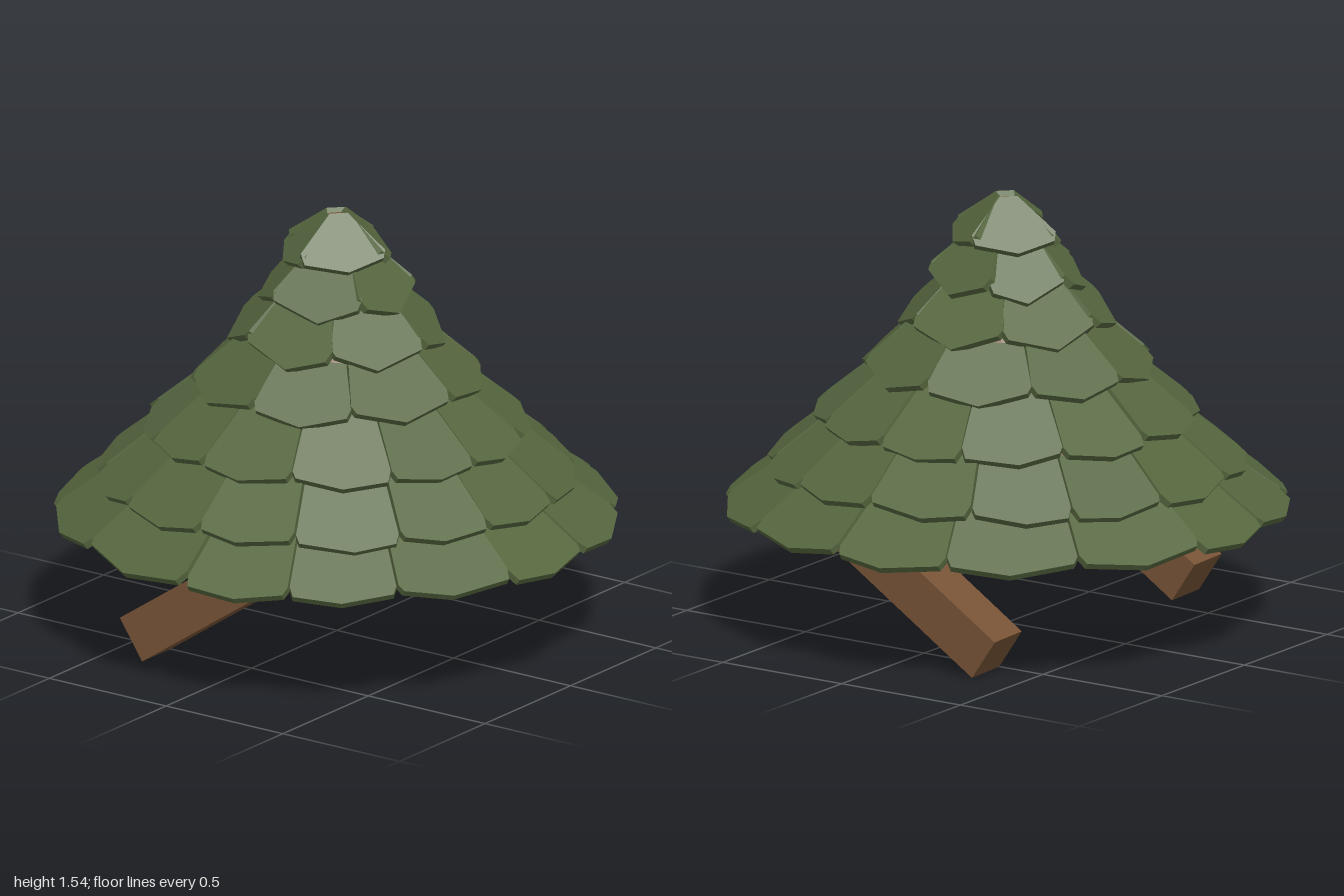
import * as THREE from 'three';

const rad = THREE.MathUtils.degToRad;

export function createModel() {
  const model = new THREE.Group();
  model.name = 'shingledRoof';
  const green = new THREE.MeshStandardMaterial({ color: 0x56673f });
  green.name = 'mossGreen';
  const brown = new THREE.MeshStandardMaterial({ color: 0x775336 });
  brown.name = 'woodBrown';

  let seed = 7;
  const jitter = (amount) => {
    seed = (seed * 16807) % 2147483647;
    return (seed / 2147483647 - 0.5) * 2 * amount;
  };

  // Wooden core under the shingles, closed at base and tip
  const profile = [[0, 0.46], [0.87, 0.46], [0.72, 0.57], [0.56, 0.71], [0.4, 0.87],
    [0.26, 1.03], [0.15, 1.2], [0.08, 1.34], [0.03, 1.53], [0, 1.53]];
  const core = new THREE.Mesh(
    new THREE.LatheGeometry(profile.map(([r, y]) => new THREE.Vector2(r, y)), 48).toNonIndexed(), brown);
  core.geometry.computeVertexNormals();
  core.name = 'roofCore';
  model.add(core);

  // One flat shingle: lower edge bends to a middle point, sides taper up the slope
  function addShingle(row, from, to, name) {
    const { r, y, topR, topY } = row;
    const half = rad((to - from) / 2);
    const slope = Math.atan2(topY - y, r - topR);
    const length = Math.hypot(topY - y, r - topR);
    const cornerR = r * Math.max(0.985 * Math.cos(half), 0.82);
    const rise = (r - cornerR) / Math.cos(slope);
    const w = cornerR * Math.tan(half) - 0.006;
    const topW = Math.max(topR * Math.tan(half) - 0.004, 0.01);
    const skew = jitter(0.012);
    const shape = new THREE.Shape([
      [-w * 0.93, rise - 0.008 + skew], [jitter(0.15) * w, 0], [w * 0.93, rise - 0.008 - skew],
      [w * 0.985, rise + 0.03], [topW, length], [-topW, length], [-w * 0.985, rise + 0.03],
    ].map(([a, b]) => new THREE.Vector2(a, b)));
    const geo = new THREE.ExtrudeGeometry(shape, { depth: 0.026, bevelEnabled: false });
    geo.translate(0, 0, -0.026);
    const tile = new THREE.Mesh(geo, green);
    tile.name = name;
    tile.position.set(0, y + jitter(0.006), r);
    tile.rotation.x = slope - Math.PI / 2;
    const pivot = new THREE.Group();
    pivot.rotation.y = rad((from + to) / 2);
    pivot.add(tile);
    return pivot;
  }

  // Evenly spread seams with a little variation, measured from the front
  const seams = (count, start) =>
    Array.from({ length: count }, (_, i) => start + (i * 360) / count + jitter(20 / count));

  // Shingle rows from eaves to peak
  const rows = [
    { r: 0.985, y: 0.44, topR: 0.74, topY: 0.62,
      edges: [8, 34, 61, 87, 112, 140, 169, 191, 215, 243, 273, 296, 319, 345] },
    { r: 0.835, y: 0.585, topR: 0.61, topY: 0.77, edges: seams(14, 12.5) },
    { r: 0.67, y: 0.755, topR: 0.44, topY: 0.95, edges: seams(12, 22) },
    { r: 0.51, y: 0.92, topR: 0.32, topY: 1.1, edges: seams(8, -2) },
    { r: 0.38, y: 1.075, topR: 0.2, topY: 1.26, edges: seams(6, 3) },
    { r: 0.275, y: 1.225, topR: 0.11, topY: 1.41, edges: seams(5, 36) },
    { r: 0.19, y: 1.375, topR: 0.035, topY: 1.54, edges: [0, 90, 180, 270] },
  ];
  rows.forEach((row, n) => {
    const ring = new THREE.Group();
    ring.name = `shingleRow${n + 1}`;
    row.edges.forEach((from, i) => {
      const to = i + 1 < row.edges.length ? row.edges[i + 1] : row.edges[0] + 360;
      ring.add(addShingle(row, from, to, `shingle${n + 1}_${i + 1}`));
    });
    model.add(ring);
  });

  // Two slanted beams reaching down and back from the underside
  for (const [side, name, lift] of [[1, 'leftBeam', 0], [-1, 'rightBeam', 0.012]]) {
    const beam = new THREE.Mesh(new THREE.BoxGeometry(0.17, 0.17, 0.8), brown);
    beam.name = name;
    beam.position.set(side * 0.605, 0.305 + lift, -0.04);
    beam.rotation.set(rad(-34), rad(1.5), 0);
    model.add(beam);
  }
  return model;
}
